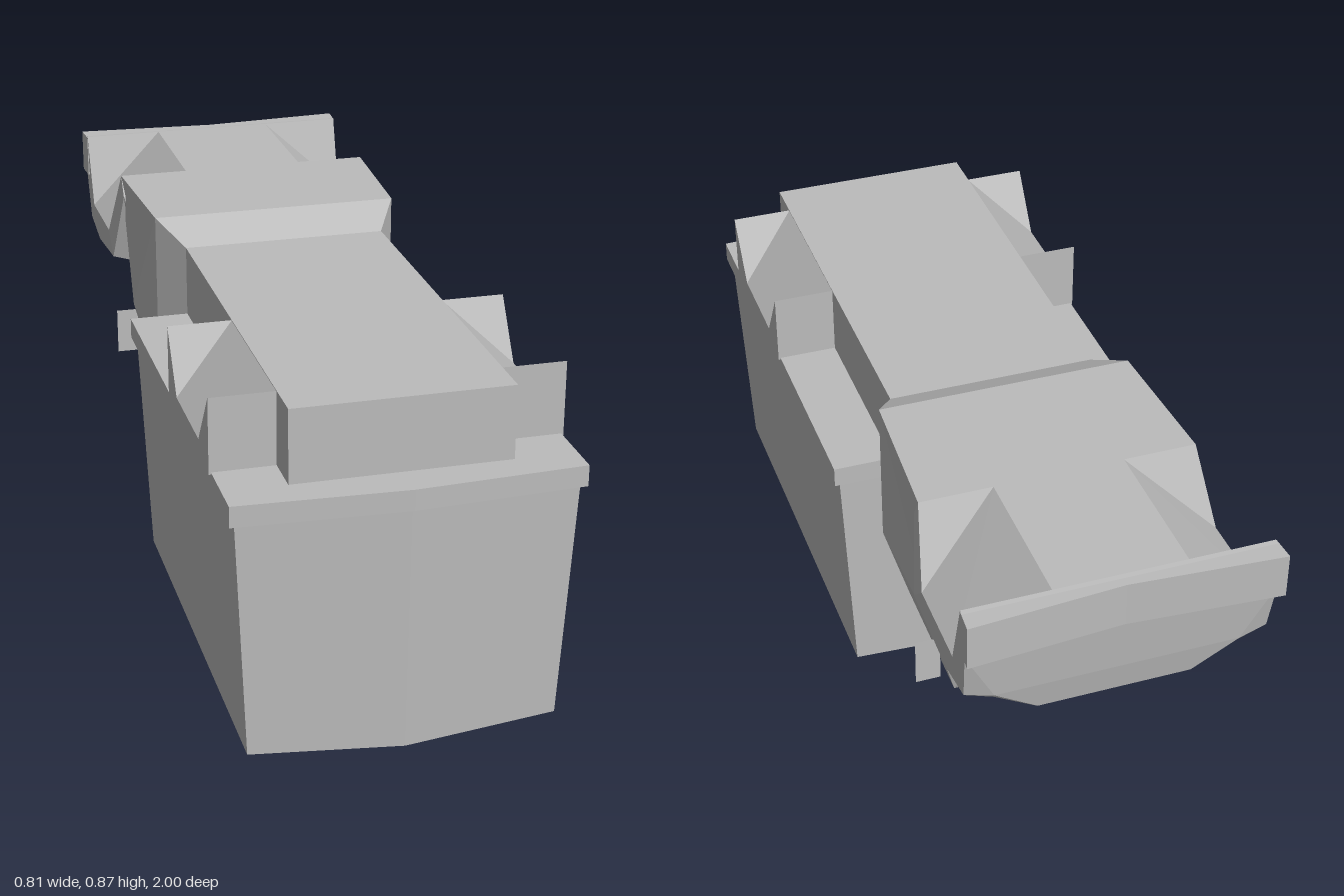
import * as THREE from 'three';

const grey = new THREE.MeshStandardMaterial({ color: 0xbcbcbc });
grey.name = 'plain grey';
const greySheet = new THREE.MeshStandardMaterial({ color: 0xbcbcbc, side: THREE.DoubleSide });
greySheet.name = 'plain grey';

// Flat-faced mirrored loft. Each ring lists its +x half from top to bottom;
// rings run from front to back.
function loft(rings) {
  const out = [];
  const m = ([x, y, z]) => [-x, y, z];
  const same = (p, q) => p.every((v, i) => Math.abs(v - q[i]) < 1e-6);
  const tri = (a, b, c) => {
    if (!same(a, b) && !same(b, c) && !same(a, c)) out.push(...a, ...b, ...c);
  };
  const quad = (a, b, c, d) => { tri(a, b, c); tri(a, c, d); };
  const n = rings[0].length;
  for (let j = 0; j < rings.length - 1; j++) {
    const a = rings[j], b = rings[j + 1], e = n - 1;
    for (let i = 0; i < e; i++) {
      tri(a[i], a[i + 1], b[i + 1]);
      tri(a[i], b[i + 1], b[i]);
      tri(m(b[i + 1]), m(a[i + 1]), m(a[i]));
      tri(m(b[i]), m(b[i + 1]), m(a[i]));
    }
    quad(a[0], b[0], m(b[0]), m(a[0]));
    quad(a[e], m(a[e]), m(b[e]), b[e]);
  }
  const f = rings[0], r = rings[rings.length - 1];
  for (let i = 0; i < n - 1; i++) {
    quad(m(f[i]), m(f[i + 1]), f[i + 1], f[i]);
    quad(r[i], r[i + 1], m(r[i + 1]), m(r[i]));
  }
  const g = new THREE.BufferGeometry();
  g.setAttribute('position', new THREE.Float32BufferAttribute(out, 3));
  g.computeVertexNormals();
  return g;
}

// Horizontal slab from a plan outline of [x, z] points
function slab(points, y0, y1) {
  const shape = new THREE.Shape(points.map(([x, z]) => new THREE.Vector2(x, -z)));
  const g = new THREE.ExtrudeGeometry(shape, { depth: y1 - y0, bevelEnabled: false });
  return g.rotateX(-Math.PI / 2).translate(0, y0, 0);
}

export function createModel() {
  const model = new THREE.Group();
  const add = (name, geometry, material = grey) => {
    const mesh = new THREE.Mesh(geometry, material);
    mesh.name = name;
    model.add(mesh);
    return mesh;
  };

  // Tapered tub with a bowed front and a shallow keel
  add('tub', loft([
    [[0, 0.61, 0.985], [0, 0.006, 0.97], [0, 0.006, 0.97]],
    [[0.385, 0.61, 0.967], [0.358, 0.03, 0.953], [0, 0.006, 0.97]],
    [[0.385, 0.61, -0.105], [0.358, 0.03, -0.1], [0, 0.012, -0.1]],
  ]));

  // Lid rim
  add('lidRim', slab([[-0.398, -0.11], [0.398, -0.11], [0.398, 0.98], [0, 1.0], [-0.398, 0.98]], 0.605, 0.655));

  // Long raised block along the lid
  add('topBlock', new THREE.BoxGeometry(0.506, 0.18, 1.02).translate(0, 0.74, 0.4));

  // Scooped wings on either side of the block
  const wing = (nz, ny, tz) => [[0.252, 0.829, tz], [0.403, ny, nz], [0.403, 0.65, nz]];
  add('frontWings', loft([
    wing(0.81, 0.829, 0.81), wing(0.71, 0.69, 0.81),
    wing(0.48, 0.69, 0.39), wing(0.39, 0.829, 0.39),
  ]));

  // Neck: widens from the block, deepens, then narrows under the tail
  add('neck', loft([
    [[0.253, 0.83, -0.11], [0.253, 0.65, -0.11], [0.25, 0.648, -0.11]],
    [[0.31, 0.88, -0.21], [0.31, 0.515, -0.21], [0.25, 0.51, -0.21]],
    [[0.31, 0.88, -0.21], [0.31, 0.515, -0.21], [0.245, 0.302, -0.21]],
    [[0.33, 0.88, -0.57], [0.305, 0.51, -0.58], [0.255, 0.318, -0.585]],
    [[0.15, 0.6, -0.66], [0.17, 0.512, -0.67], [0.17, 0.508, -0.67]],
  ]));

  // Tail with scooped sides and a chamfered belly
  add('tail', loft([
    [[0.155, 0.88, -0.57], [0.33, 0.88, -0.57], [0.33, 0.83, -0.54], [0.32, 0.8, -0.545], [0.17, 0.6, -0.6]],
    [[0.155, 0.88, -0.57], [0.353, 0.7, -0.66], [0.353, 0.645, -0.6], [0.29, 0.61, -0.65], [0.175, 0.51, -0.67]],
    [[0.155, 0.88, -0.94], [0.355, 0.7, -0.88], [0.352, 0.62, -0.82], [0.29, 0.592, -0.82], [0.18, 0.538, -0.85]],
    [[0.155, 0.88, -0.94], [0.357, 0.88, -0.94], [0.352, 0.645, -0.945], [0.285, 0.62, -0.945], [0.18, 0.552, -0.935]],
    [[0.155, 0.878, -0.965], [0.357, 0.878, -0.965], [0.357, 0.77, -0.968], [0.285, 0.63, -0.952], [0.18, 0.555, -0.938]],
  ]));

  // Flange across the tail end, with a notched rear edge
  add('tailFlange', slab([[-0.358, -0.94], [-0.362, -1.0], [0, -0.975], [0.362, -1.0], [0.358, -0.94]], 0.77, 0.879));

  // Small loose plates beside the neck
  for (const s of [-1, 1]) {
    const plate = add(s > 0 ? 'leftPlate' : 'rightPlate', new THREE.PlaneGeometry(0.06, 0.12), greySheet);
    plate.position.set(s * 0.32, 0.43, -0.59);
  }
  return model;
}
